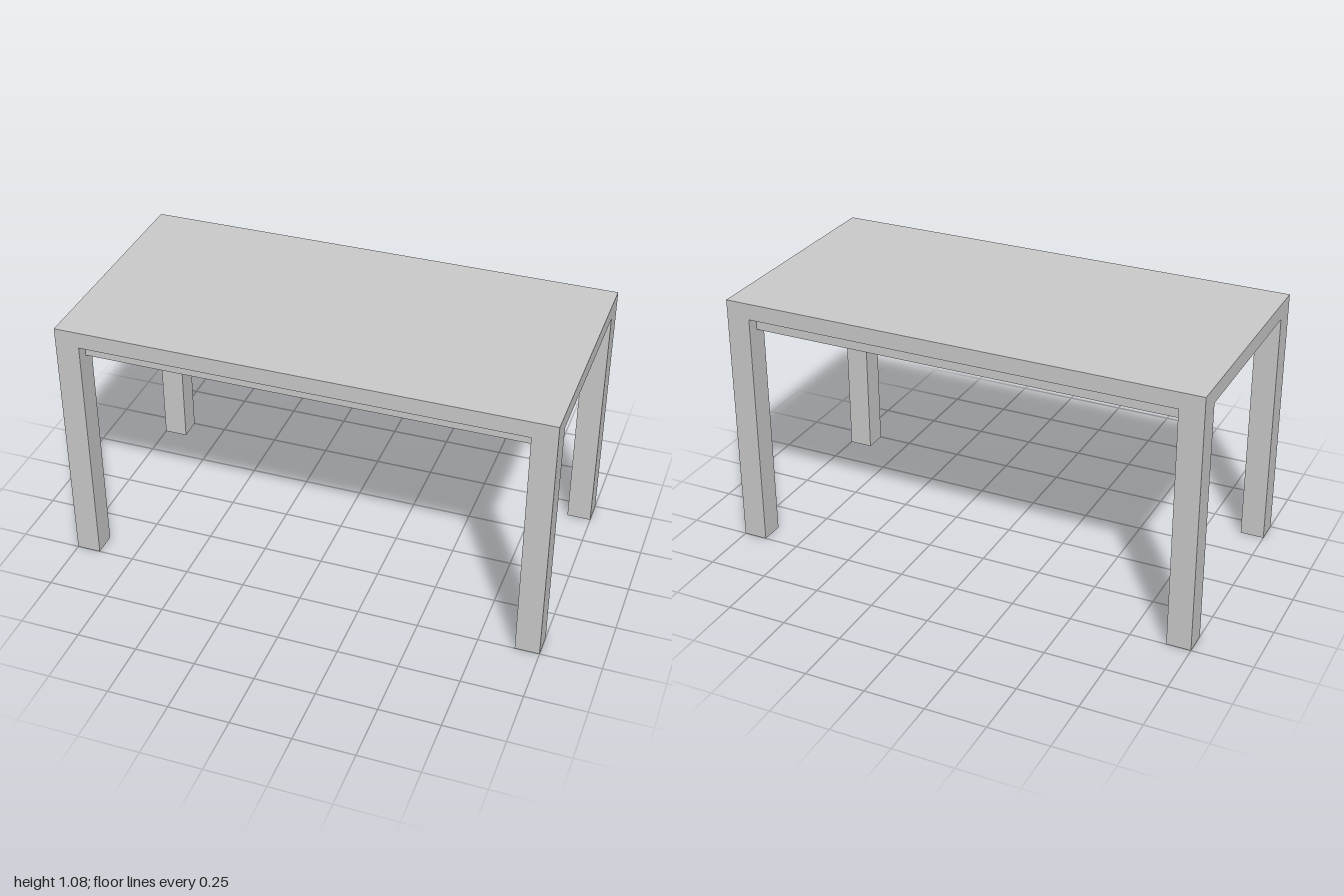
import * as THREE from 'three';

const LENGTH = 2, DEPTH = 1, HEIGHT = 1.08;
const TOP = 0.068;      // table top thickness
const LEG = 0.1;        // square leg width
const INSET = 0.05;     // setback of the under panel
const PANEL_BOTTOM = 0.95;

export function createModel() {
  const table = new THREE.Group();
  table.name = 'table';
  const material = new THREE.MeshStandardMaterial({ color: 0xcccccc, flatShading: true });

  // Box standing between two heights
  const addBox = (name, width, depth, bottom, top, x = 0, z = 0) => {
    const mesh = new THREE.Mesh(new THREE.BoxGeometry(width, top - bottom, depth), material);
    mesh.name = name;
    mesh.position.set(x, (bottom + top) / 2, z);
    table.add(mesh);
  };

  const underside = HEIGHT - TOP;
  addBox('tableTop', LENGTH, DEPTH, underside, HEIGHT);

  // Recessed panel below the top
  addBox('underPanel', LENGTH - 2 * INSET, DEPTH - 2 * INSET, PANEL_BOTTOM, underside);

  // Legs flush with the corners of the top
  for (const [sideX, nameX] of [[1, 'Left'], [-1, 'Right']]) {
    for (const [sideZ, nameZ] of [[1, 'front'], [-1, 'back']]) {
      addBox(`${nameZ}${nameX}Leg`, LEG, LEG, 0, underside,
        sideX * (LENGTH - LEG) / 2, sideZ * (DEPTH - LEG) / 2);
    }
  }
  return table;
}
